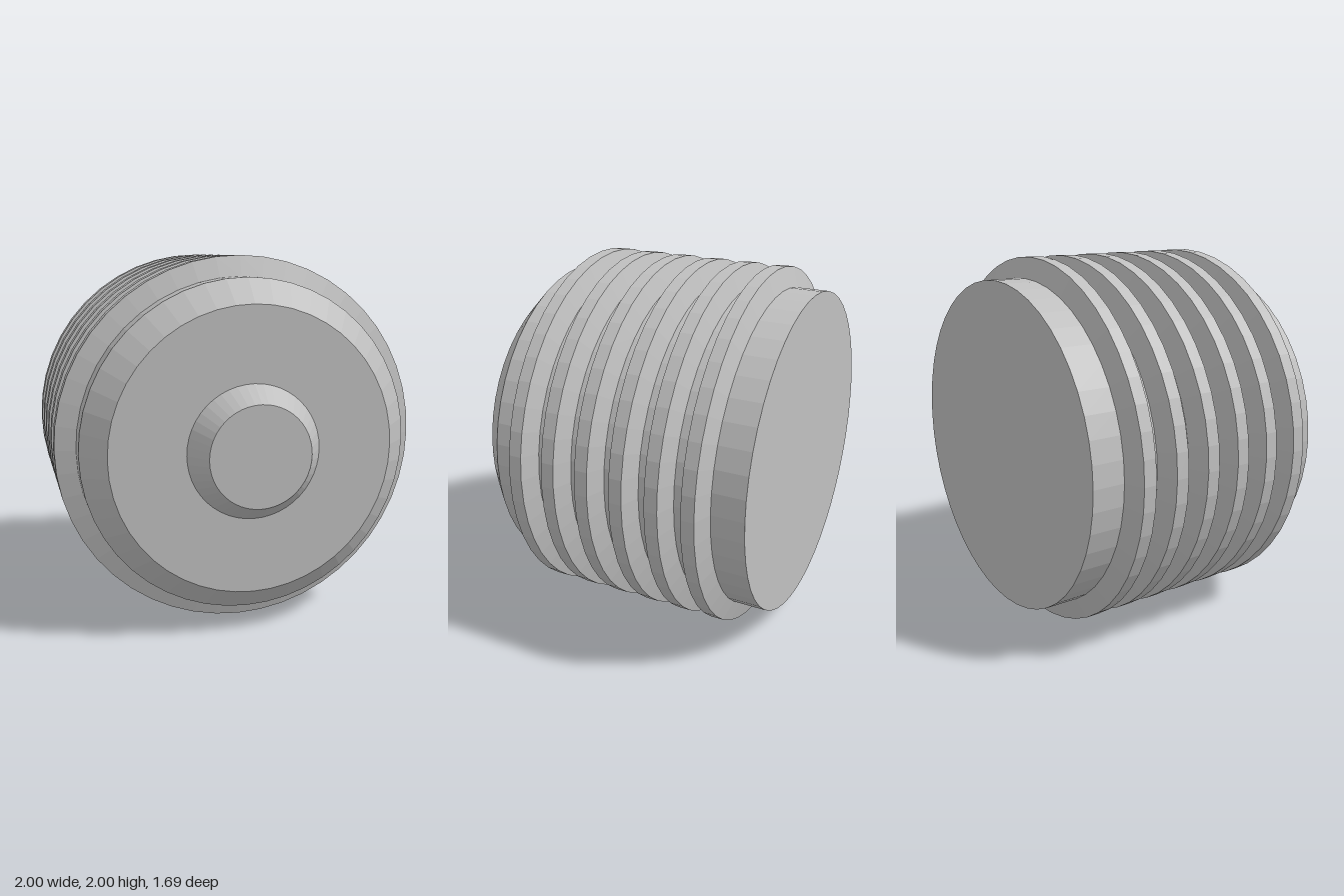
import * as THREE from 'three';

const SIDES = 48;

// Revolves [radius, z] points, listed back to front, around the z axis with flat facets
function turned(name, profile, material) {
  const points = profile.map(([r, z]) => new THREE.Vector2(r, z));
  const geometry = new THREE.LatheGeometry(points, SIDES).toNonIndexed();
  geometry.rotateX(Math.PI / 2);
  geometry.computeVertexNormals();
  const mesh = new THREE.Mesh(geometry, material);
  mesh.name = name;
  return mesh;
}

export function createModel() {
  const grey = new THREE.MeshStandardMaterial({ color: 0xc0c0c0 });
  grey.name = 'light grey';

  const model = new THREE.Group();
  model.name = 'ribbedPlug';

  // Body: closed back, six trapezoid ribs, chamfered front
  const R = 0.89;
  const body = [[0, -0.845], [R, -0.845]];
  for (let i = 0; i < 6; i++) {
    const z = -0.595 + i * 0.197;
    body.push([R, z - 0.072], [1, z - 0.036], [1, z + 0.036], [R, z + 0.072]);
  }
  body.push([R, 0.585], [0.76, 0.715], [0, 0.715]);
  model.add(turned('ribbedBody', body, grey));

  // Tapered contact at the front
  model.add(turned('frontTip', [[0.357, 0.715], [0.27, 0.845], [0, 0.845]], grey));

  model.children.forEach((part) => { part.position.y = 1; });
  return model;
}
